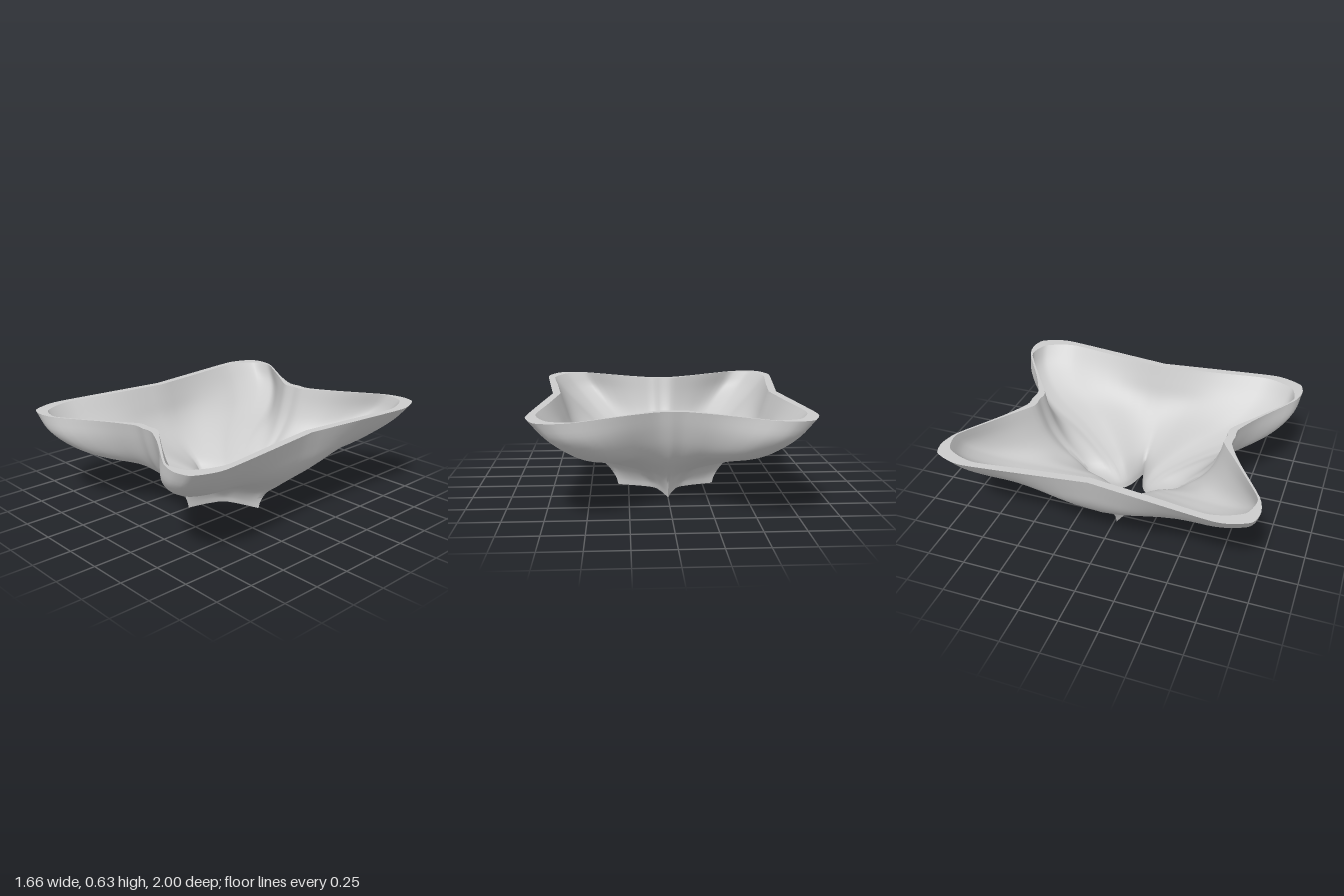
import * as THREE from 'three';
import { toCreasedNormals } from 'three/addons/utils/BufferGeometryUtils.js';

// One quarter of each outline, from the +z axis round to the +x axis, as [x, z].
const RIM_OUTER = [[0, 0.695], [0.087, 0.695], [0.26, 0.785], [0.54, 0.965], [0.67, 1], [0.765, 0.975], [0.81, 0.89], [0.832, 0.77], [0.79, 0.4], [0.74, 0]];
const RIM_INNER = [[0, 0.645], [0.087, 0.645], [0.25, 0.757], [0.53, 0.945], [0.61, 0.957], [0.70, 0.925], [0.755, 0.83], [0.78, 0.70], [0.735, 0.37], [0.69, 0]];
const FOOT_OUTER = [[0, 0.33], [0.007, 0.3], [0.03, 0.21], [0.057, 0.135], [0.07, 0.11], [0.08, 0.098], [0.092, 0.087], [0.11, 0.075], [0.18, 0.045], [0.318, 0]];
const FOOT_INNER = [[0, 0.29], [0.002, 0.263], [0.008, 0.19], [0.021, 0.12], [0.034, 0.09], [0.043, 0.077], [0.053, 0.067], [0.067, 0.057], [0.11, 0.034], [0.23, 0]];

// Flare of the wall: x and z hold the blend from foot to rim, y the height.
const flare = (rows) => new THREE.CatmullRomCurve3(rows.map((p) => new THREE.Vector3(...p)));
const VALLEY = flare([
  [0, 0, 0], [0.03, 0.045, 0.03], [0.16, 0.13, 0.15], [0.37, 0.2, 0.33], [0.6, 0.28, 0.57],
  [0.76, 0.355, 0.73], [0.86, 0.43, 0.84], [0.93, 0.525, 0.93], [1, 0.63, 1],
]);
const LOBE = flare([
  [0, 0, 0], [0.015, 0.045, 0.015], [0.09, 0.13, 0.09], [0.24, 0.2, 0.24], [0.43, 0.28, 0.46],
  [0.61, 0.355, 0.72], [0.74, 0.43, 0.87], [0.88, 0.525, 0.97], [1, 0.63, 1],
]);

const LEVELS = 32;
const SUBDIVISIONS = 4;

// Smooth a quarter outline and mirror it into a closed loop with sharp tips.
function fullOutline(quarter) {
  const points = quarter.map(([x, z]) => new THREE.Vector3(x, 0, z));
  const curve = new THREE.CatmullRomCurve3(points, false, 'catmullrom', 0.35);
  const fine = curve.getPoints((quarter.length - 1) * SUBDIVISIONS).map((p) => [p.x, p.z]);
  const back = fine.map(([x, z]) => [x, -z]).reverse();
  const half = [...fine, ...back.slice(1)];
  const other = half.map(([x, z]) => [-x, z]).reverse();
  return [...half, ...other.slice(1, -1)];
}

// Horizontal cross-sections of a wall, from the star foot to the four-lobed rim.
function wallRings(foot, rim) {
  const a = fullOutline(foot);
  const b = fullOutline(rim);
  return Array.from({ length: LEVELS + 1 }, (_, j) => {
    const valley = VALLEY.getPoint(j / LEVELS);
    const lobe = LOBE.getPoint(j / LEVELS);
    return a.map(([x, z], i) => {
      const [rx, rz] = b[i];
      const lobeness = THREE.MathUtils.smoothstep(Math.min(Math.abs(rx) / 0.5, Math.abs(rz) / 0.7), 0.2, 1);
      const f = valley.clone().lerp(lobe, lobeness);
      return [x + (rx - x) * f.x, f.y, z + (rz - z) * f.z + 0.015 * (1 - f.z)];
    });
  });
}

// Skin a series of closed rings.
function loft(rings, name, material) {
  const n = rings[0].length;
  const index = [];
  for (let j = 0; j < rings.length - 1; j++) {
    for (let i = 0; i < n; i++) {
      const a = j * n + i;
      const b = j * n + ((i + 1) % n);
      index.push(a, b, b + n, a, b + n, a + n);
    }
  }
  const geometry = new THREE.BufferGeometry();
  geometry.setAttribute('position', new THREE.Float32BufferAttribute(rings.flat(2), 3));
  geometry.setIndex(index);
  const mesh = new THREE.Mesh(toCreasedNormals(geometry, 1.8), material);
  mesh.name = name;
  return mesh;
}

export function createModel() {
  const group = new THREE.Group();
  group.name = 'lobedBowl';
  const material = new THREE.MeshStandardMaterial({ color: 0xcccccc });
  const outer = wallRings(FOOT_OUTER, RIM_OUTER);
  const inner = wallRings(FOOT_INNER, RIM_INNER);

  group.add(
    loft(outer, 'outerWall', material),
    loft([...inner].reverse(), 'innerWall', material),
    loft([outer[LEVELS], inner[LEVELS]], 'rim', material),
    loft([inner[0], outer[0]], 'footRing', material),
  );
  return group;
}
